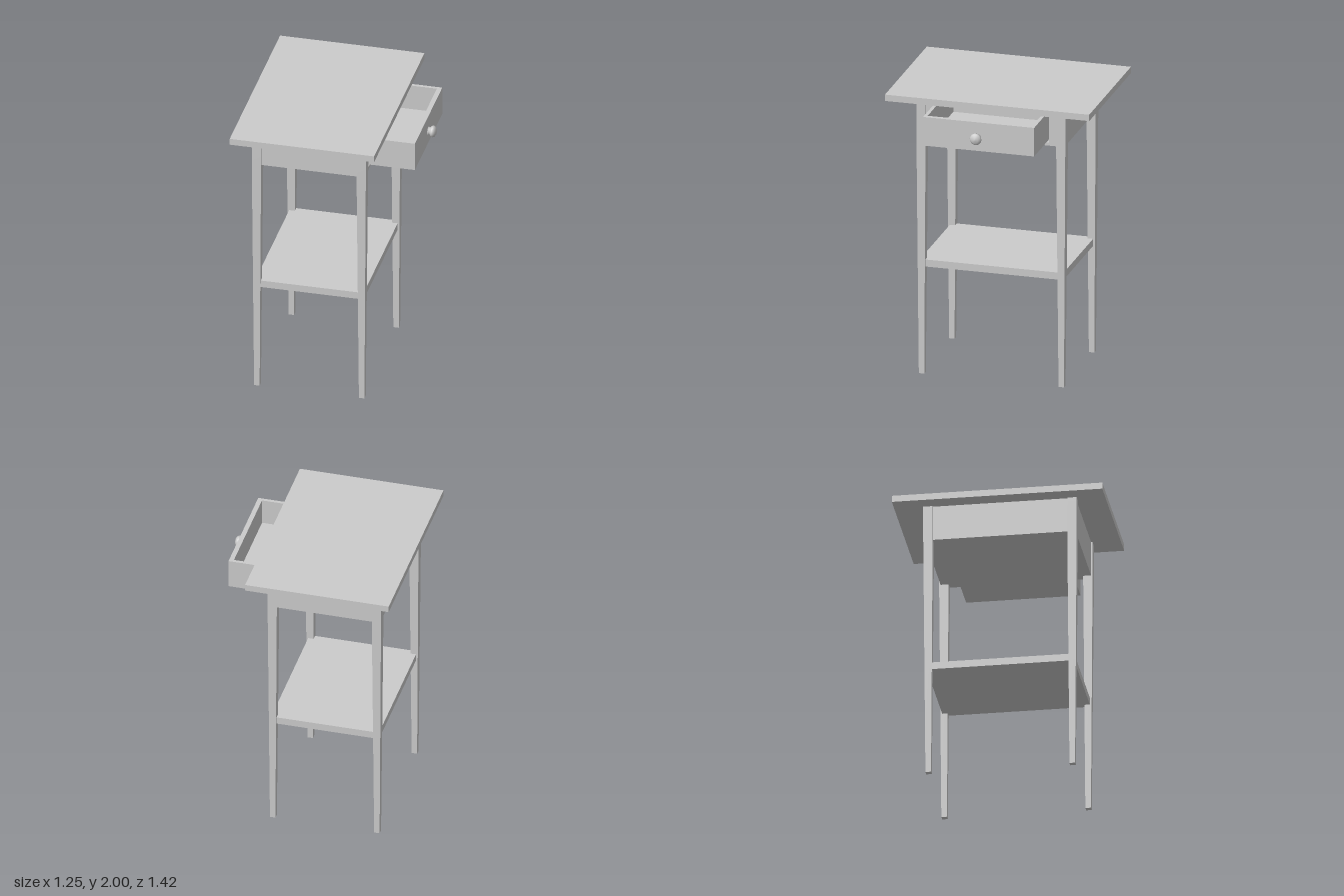
import * as THREE from 'three';

const material = new THREE.MeshStandardMaterial({ color: 0xcccccc });

// Box given by its minimum and maximum on each axis
function slab(parent, name, [x0, x1], [y0, y1], [z0, z1]) {
  const mesh = new THREE.Mesh(new THREE.BoxGeometry(x1 - x0, y1 - y0, z1 - z0), material);
  mesh.name = name;
  mesh.position.set((x0 + x1) / 2, (y0 + y1) / 2, (z0 + z1) / 2);
  parent.add(mesh);
  return mesh;
}

// Square leg: straight beside the case, tapering below it
function legGeometry(topWidth, footWidth, taperStart, height) {
  const geometry = new THREE.BoxGeometry(topWidth, height, topWidth, 1, 2, 1);
  geometry.translate(0, height / 2, 0);
  const p = geometry.attributes.position;
  for (let i = 0; i < p.count; i++) {
    const y = p.getY(i);
    if (y < 0.01) {
      p.setX(i, Math.sign(p.getX(i)) * footWidth / 2);
      p.setZ(i, Math.sign(p.getZ(i)) * footWidth / 2);
    } else if (y < height - 0.01) p.setY(i, taperStart);
  }
  geometry.computeVertexNormals();
  return geometry;
}

export function createModel() {
  const table = new THREE.Group();
  table.name = 'sideTable';

  slab(table, 'tableTop', [-0.63, 0.365], [1.955, 2], [-0.715, 0.71]);

  // Four legs
  const legShape = legGeometry(0.064, 0.038, 1.71, 1.955);
  for (const x of [-0.492, 0.23]) {
    for (const z of [-0.486, 0.489]) {
      const leg = new THREE.Mesh(legShape, material);
      leg.name = (x > 0 ? 'drawerSide' : 'plainSide') + (z > 0 ? 'FrontLeg' : 'BackLeg');
      leg.position.set(x, 0, z);
      table.add(leg);
    }
  }

  slab(table, 'lowerShelf', [-0.505, 0.242], [0.76, 0.81], [-0.498, 0.501]);

  // Case around the drawer, with an opening on the +x side
  const drawerCase = new THREE.Group();
  drawerCase.name = 'drawerCase';
  table.add(drawerCase);
  const caseY = [1.71, 1.955];
  slab(drawerCase, 'frontApron', [-0.49, 0.23], caseY, [0.485, 0.511]);
  slab(drawerCase, 'backApron', [-0.49, 0.23], caseY, [-0.508, -0.482]);
  slab(drawerCase, 'sideApron', [-0.514, -0.488], caseY, [-0.486, 0.489]);
  slab(drawerCase, 'caseBottom', [-0.5, 0.235], [1.71, 1.732], [-0.49, 0.493]);
  slab(drawerCase, 'openingRail', [0.22, 0.252], [1.71, 1.732], [-0.46, 0.46]);
  slab(drawerCase, 'openingStileFront', [0.22, 0.252], caseY, [0.4, 0.47]);
  slab(drawerCase, 'openingStileBack', [0.22, 0.252], caseY, [-0.47, -0.402]);

  // Open drawer
  const drawer = new THREE.Group();
  drawer.name = 'drawer';
  table.add(drawer);
  const drawerY = [1.74, 1.943];
  slab(drawer, 'drawerFront', [0.535, 0.567], drawerY, [-0.39, 0.385]);
  slab(drawer, 'drawerRearWall', [-0.1, -0.075], drawerY, [-0.39, 0.385]);
  slab(drawer, 'drawerLeftWall', [-0.075, 0.535], drawerY, [0.362, 0.385]);
  slab(drawer, 'drawerRightWall', [-0.075, 0.535], drawerY, [-0.39, -0.367]);
  slab(drawer, 'drawerFloor', [-0.075, 0.535], [1.74, 1.762], [-0.367, 0.362]);

  // Turned knob
  const profile = [
    [0, 0], [0.03, 0], [0.026, 0.008], [0.025, 0.016], [0.036, 0.022],
    [0.041, 0.033], [0.037, 0.045], [0.022, 0.056], [0, 0.059],
  ].map(([r, h]) => new THREE.Vector2(r, h));
  const knob = new THREE.Mesh(new THREE.LatheGeometry(profile, 14), material);
  knob.name = 'drawerKnob';
  knob.rotation.z = -Math.PI / 2;
  knob.position.set(0.566, 1.833, 0.009);
  drawer.add(knob);

  return table;
}
